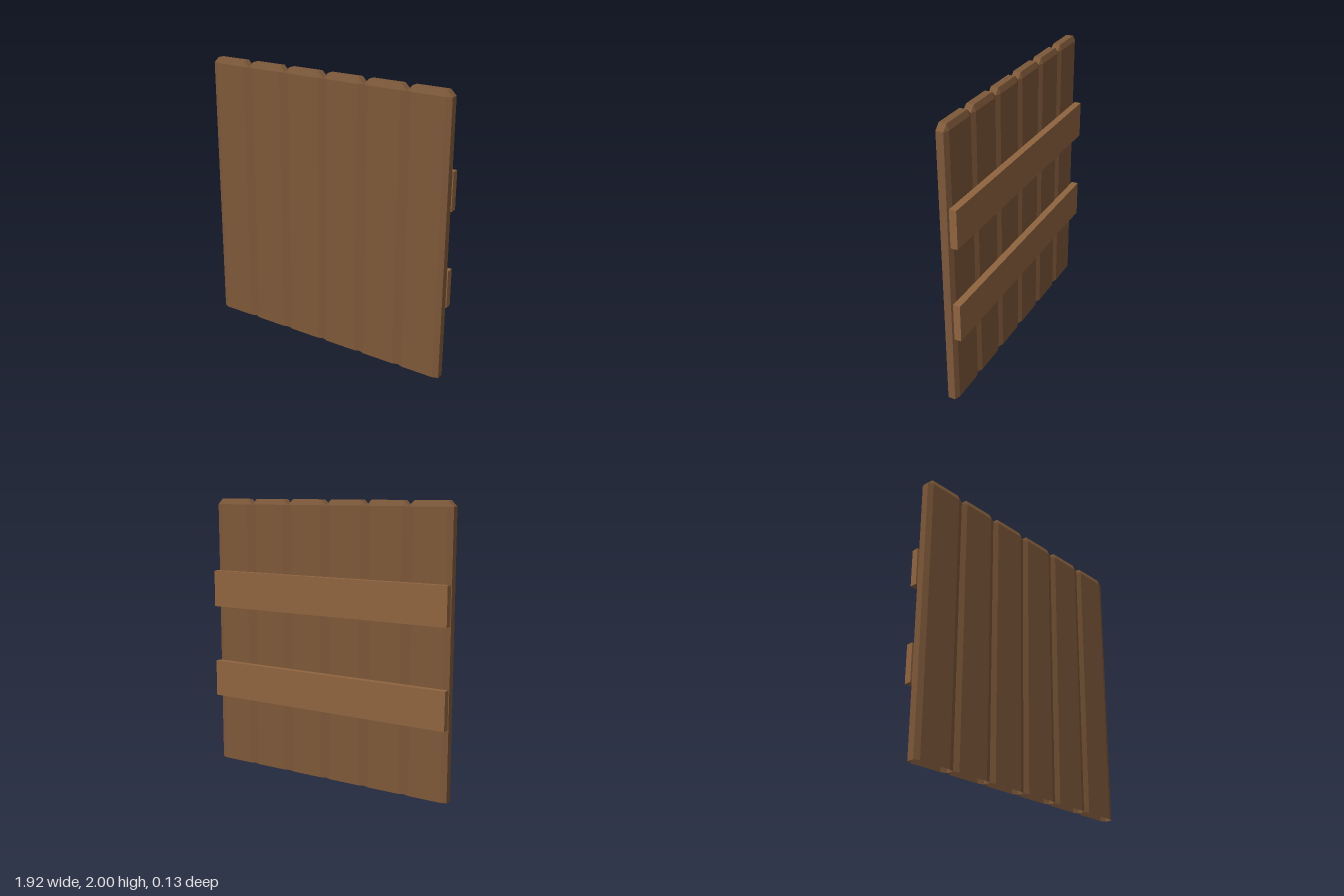
import * as THREE from 'three';

const HALF = 0.16, DEPTH = 0.041, IN_X = 0.12, IN_Z = 0.026;
const SHOULDER = 1.96, TOP = 2;

// Plank: eight-sided section, open at the foot, closing to a smaller rectangle on top
function plankGeometry() {
  const outline = [
    [HALF, IN_Z], [HALF, -IN_Z], [IN_X, -DEPTH], [-IN_X, -DEPTH],
    [-HALF, -IN_Z], [-HALF, IN_Z], [-IN_X, DEPTH], [IN_X, DEPTH],
  ];
  const ring = (y) => outline.map(([x, z]) => new THREE.Vector3(x, y, z));
  const foot = ring(0);
  const shoulder = ring(SHOULDER);
  const top = outline.map(([x, z]) => new THREE.Vector3(Math.sign(x) * IN_X, TOP, Math.sign(z) * IN_Z));
  const points = [];
  const tri = (a, b, c) => {
    if (!a.equals(b) && !b.equals(c) && !c.equals(a)) points.push(a, b, c);
  };
  const band = (low, high) => {
    for (let i = 0; i < 8; i++) {
      const j = (i + 1) % 8;
      tri(low[i], low[j], high[j]);
      tri(low[i], high[j], high[i]);
    }
  };
  band(foot, shoulder);
  band(shoulder, top);
  // Flat top cap
  tri(top[0], top[1], top[3]);
  tri(top[0], top[3], top[5]);
  const geometry = new THREE.BufferGeometry().setFromPoints(points);
  // Corners above run clockwise or not depending on the axis; keep faces pointing outward
  const p = geometry.attributes.position;
  const centre = new THREE.Vector3(0, 1, 0);
  const [a, b, c] = [0, 1, 2].map(() => new THREE.Vector3());
  for (let i = 0; i < p.count; i += 3) {
    a.fromBufferAttribute(p, i);
    b.fromBufferAttribute(p, i + 1);
    c.fromBufferAttribute(p, i + 2);
    const normal = b.clone().sub(a).cross(c.clone().sub(a));
    if (normal.dot(a.clone().sub(centre)) < 0) {
      p.setXYZ(i + 1, c.x, c.y, c.z);
      p.setXYZ(i + 2, b.x, b.y, b.z);
    }
  }
  geometry.computeVertexNormals();
  return geometry;
}

export function createModel() {
  const model = new THREE.Group();
  model.name = 'woodenFencePanel';
  const plankWood = new THREE.MeshStandardMaterial({ color: 0x7d5839, flatShading: true, side: THREE.DoubleSide });
  const battenWood = new THREE.MeshStandardMaterial({ color: 0x8f6440, flatShading: true });

  // Six upright planks side by side
  const plank = plankGeometry();
  for (let i = 0; i < 6; i++) {
    const mesh = new THREE.Mesh(plank, plankWood);
    mesh.name = `plank${i + 1}`;
    mesh.position.set((i - 2.5) * HALF * 2, 0, 0.025);
    model.add(mesh);
  }

  // Two battens across the back
  const batten = new THREE.BoxGeometry(1.92, 0.27, 0.05);
  for (const [name, y] of [['lowerBatten', 0.643], ['upperBatten', 1.332]]) {
    const mesh = new THREE.Mesh(batten, battenWood);
    mesh.name = name;
    mesh.position.set(0, y, -0.041);
    model.add(mesh);
  }
  return model;
}
